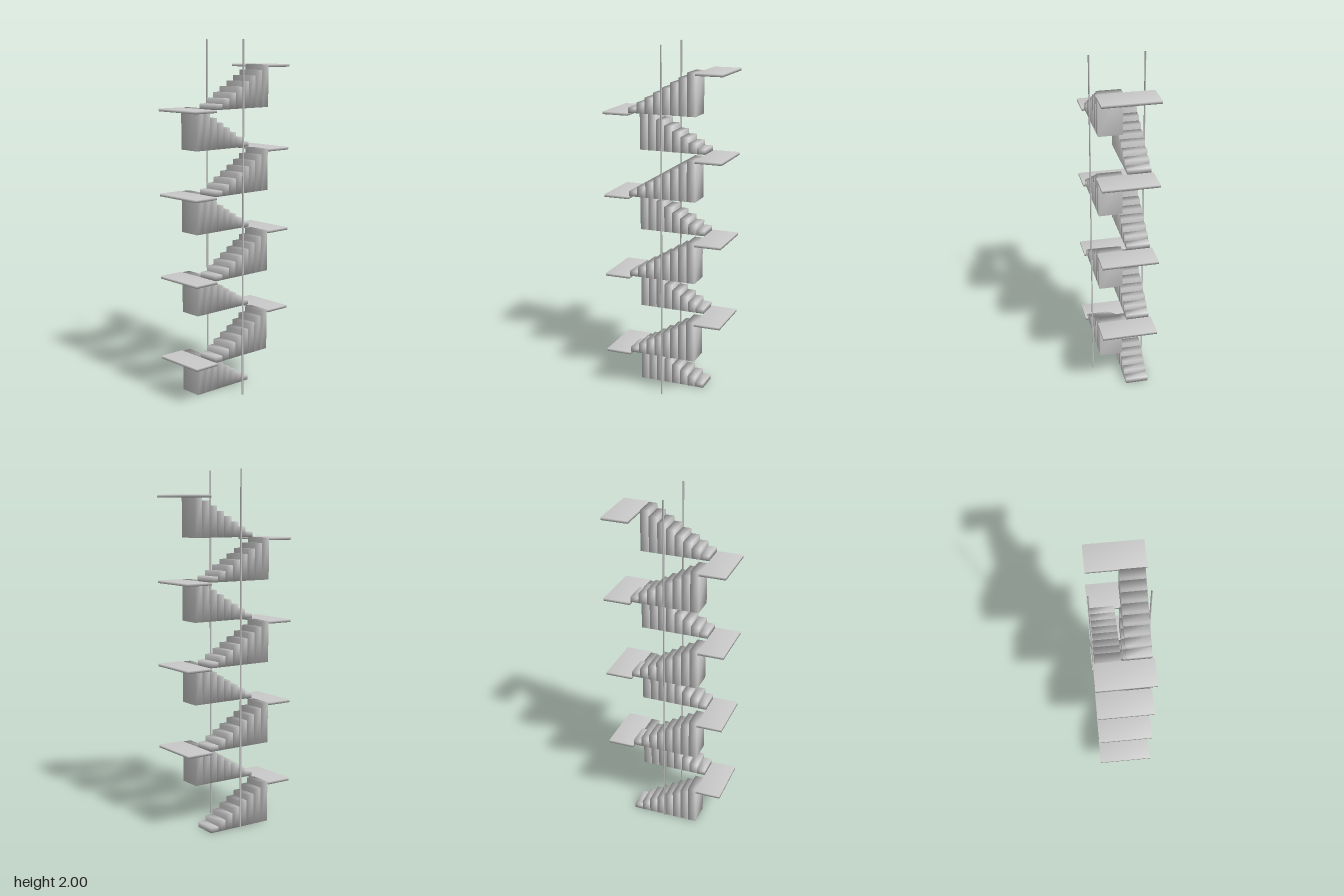
import * as THREE from 'three';
import { mergeVertices } from 'three/addons/utils/BufferGeometryUtils.js';

const FLIGHTS = 8, STEPS = 8;
const RISE = 0.0291, RUN = 0.0486;
const FLIGHT_RISE = RISE * STEPS;
const Z_BACK = -0.192, Z_FRONT = Z_BACK + RUN * STEPS, Z_END = 0.344;

const material = new THREE.MeshStandardMaterial({ color: 0xcccccc });

// Box given by its min and max corners, with normals shared across the edges
function block(name, min, max) {
  const size = max.map((v, i) => v - min[i]);
  let geometry = new THREE.BoxGeometry(...size);
  geometry.deleteAttribute('normal');
  geometry.deleteAttribute('uv');
  geometry = mergeVertices(geometry);
  geometry.computeVertexNormals();
  const mesh = new THREE.Mesh(geometry, material);
  mesh.name = name;
  mesh.position.set(...min.map((v, i) => v + size[i] / 2));
  return mesh;
}

export function createModel() {
  const model = new THREE.Group();
  model.name = 'staircase';

  for (let f = 0; f < FLIGHTS; f++) {
    const toFront = f % 2 === 0;
    const base = f * FLIGHT_RISE;
    const top = base + FLIGHT_RISE;
    const x = toFront ? -0.078 : 0.078;

    // Flight of solid steps, each reaching down to the flight's base
    const flight = new THREE.Group();
    flight.name = 'flight' + (f + 1);
    for (let s = 0; s < STEPS; s++) {
      const z = toFront ? Z_BACK + s * RUN : Z_FRONT - (s + 1) * RUN;
      flight.add(block('step', [x - 0.0655, base, z], [x + 0.0655, base + (s + 1) * RISE, z + RUN]));
    }
    model.add(flight);

    // Landing at the top of the flight, alternating front and back
    const [z0, z1] = toFront ? [Z_FRONT, Z_END] : [-Z_END, Z_BACK];
    model.add(block('landing', [-0.155, top - 0.0146, z0], [0.155, top, z1]));
  }

  // Slim square posts on both sides
  for (const side of [-1, 1]) {
    const x = side * 0.15;
    model.add(block(side > 0 ? 'leftPost' : 'rightPost', [x - 0.0036, 0, -0.0015], [x + 0.0036, 2, 0.0057]));
  }

  return model;
}
